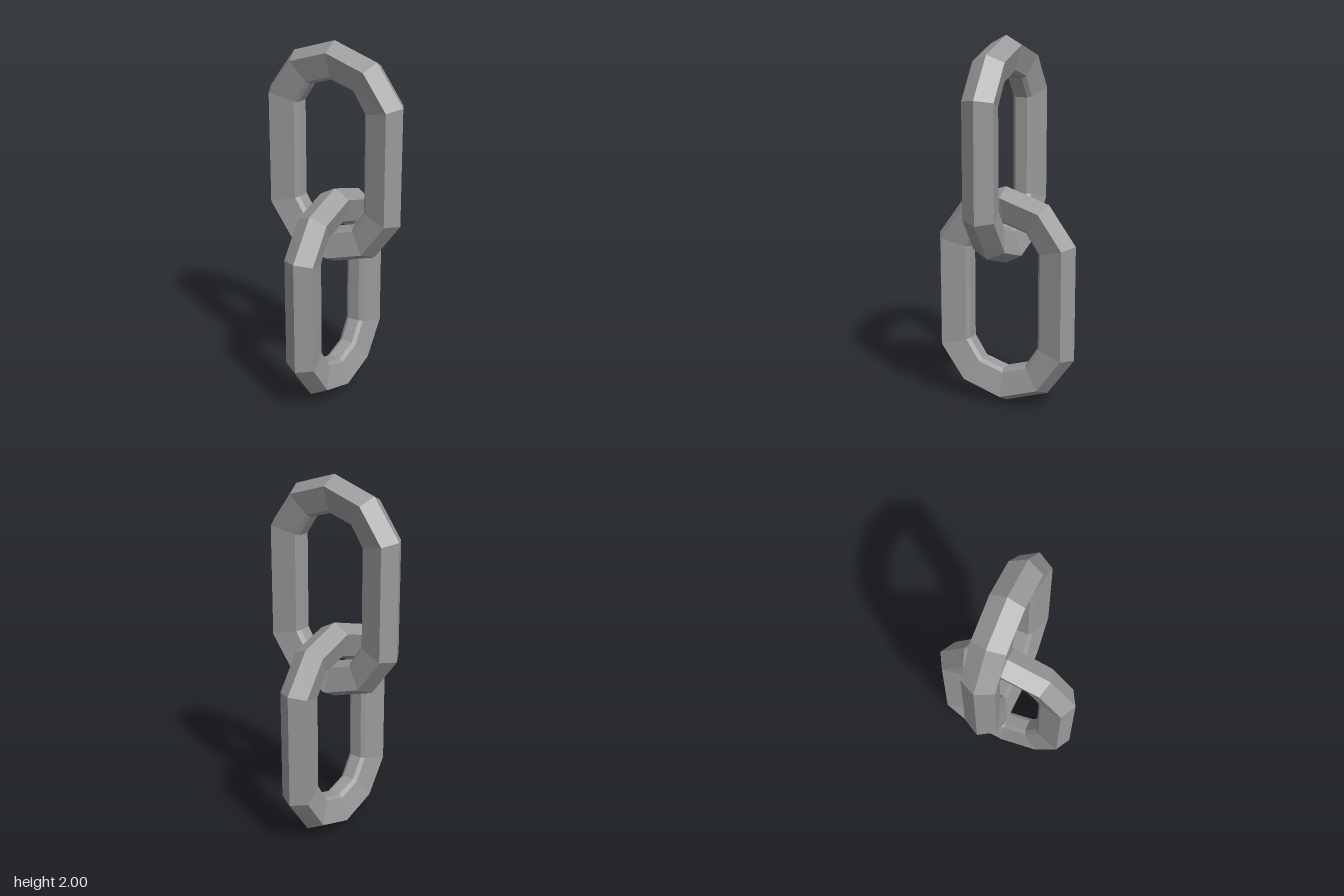
import * as THREE from 'three';

// Matching corners of the outer and inner outline, top to side (first quadrant)
const OUTER = [[0, 0.605], [0.245, 0.525], [0.397, 0.315]];
const INNER = [[0, 0.41], [0.13, 0.37], [0.2, 0.262]];

// Bar cross-section: [0 = outer outline .. 1 = inner outline, depth]
const PROFILE = [
  [0, 0], [0.244, 0.088], [0.914, 0.053], [1, 0.033],
  [1, -0.033], [0.914, -0.053], [0.244, -0.088],
];

// Mirror the quadrant into a closed counter-clockwise outline of ten corners
function outline([top, corner, side]) {
  const right = [[0, -top[1]], [corner[0], -corner[1]], [side[0], -side[1]], side, corner];
  return [...right, ...right.map(([x, y]) => [-x, -y])];
}

// Faceted closed chain link in the XY plane
function linkGeometry() {
  const outer = outline(OUTER);
  const inner = outline(INNER);
  const rings = outer.map(([x, y], i) => PROFILE.map(([t, z]) => [
    THREE.MathUtils.lerp(x, inner[i][0], t),
    THREE.MathUtils.lerp(y, inner[i][1], t),
    z,
  ]));
  const positions = [];
  rings.forEach((ring, i) => {
    const next = rings[(i + 1) % rings.length];
    ring.forEach((a, j) => {
      const k = (j + 1) % ring.length;
      const b = next[j], c = next[k], d = ring[k];
      positions.push(...a, ...b, ...c, ...a, ...c, ...d);
    });
  });
  const geometry = new THREE.BufferGeometry();
  geometry.setAttribute('position', new THREE.Float32BufferAttribute(positions, 3));
  geometry.computeVertexNormals();
  return geometry;
}

export function createModel() {
  const group = new THREE.Group();
  group.name = 'chain';
  const steel = new THREE.MeshStandardMaterial({ color: 0x999999 });
  steel.name = 'steel grey';
  const geometry = linkGeometry();

  // Upper link faces the front
  const upperLink = new THREE.Mesh(geometry, steel);
  upperLink.name = 'upperLink';
  upperLink.position.y = 1.395;

  // Lower link is turned a quarter and hooked through the upper one
  const lowerLink = new THREE.Mesh(geometry, steel);
  lowerLink.name = 'lowerLink';
  lowerLink.position.y = 0.605;
  lowerLink.rotation.y = Math.PI / 2;

  group.add(upperLink, lowerLink);
  return group;
}
